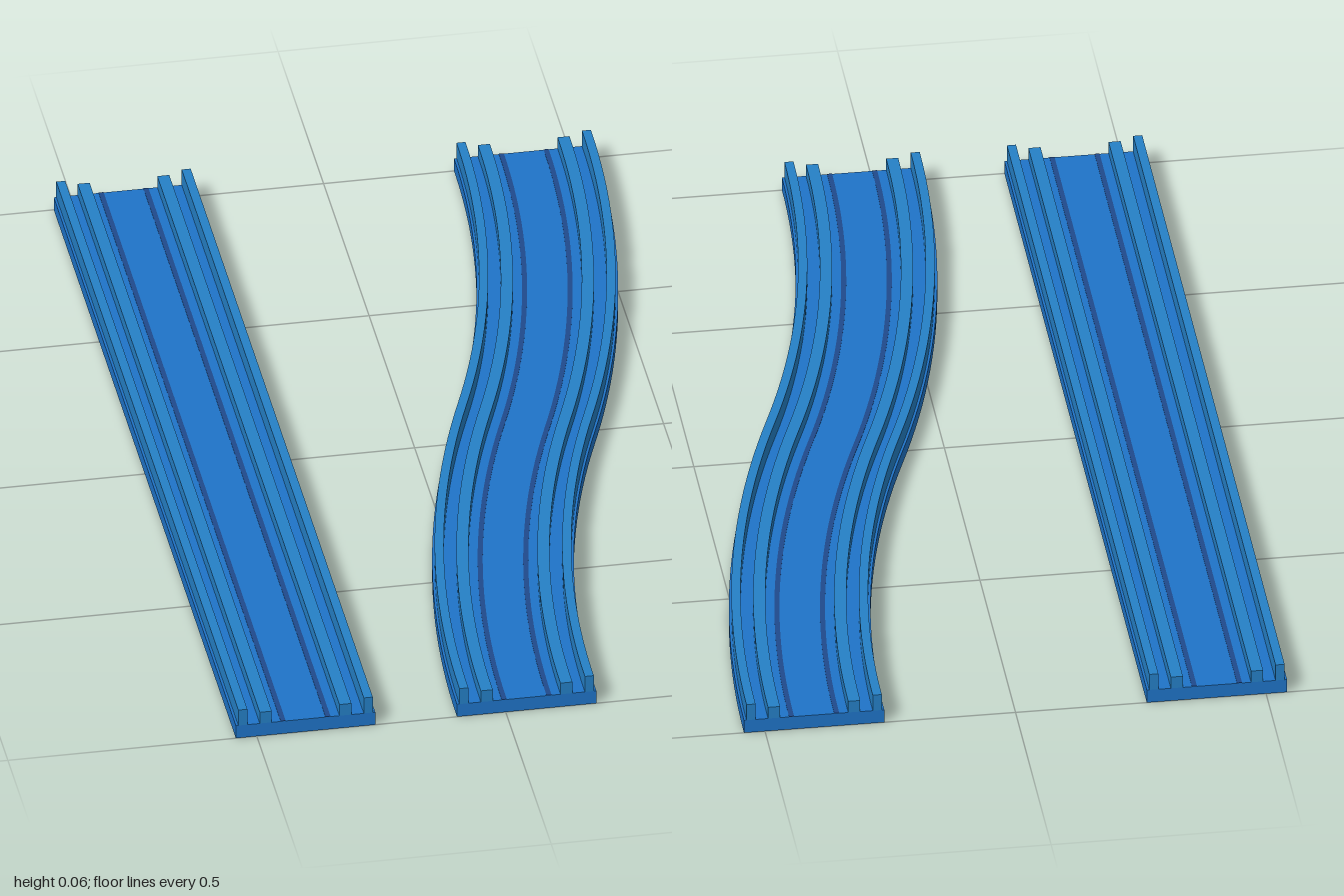
import * as THREE from 'three';

const material = (name, color) => {
  const m = new THREE.MeshStandardMaterial({ color });
  m.name = name;
  return m;
};

// Cross-section pieces: [name, centre offset, width, bottom, top, material key]
const HALF = 0.14, BASE_TOP = 0.029;
const SECTION = [['base', 0, HALF * 2, 0, BASE_TOP, 'base']];
for (const [side, s] of [['left', 1], ['right', -1]]) {
  SECTION.push(
    [side + 'OuterWall', s * 0.126, 0.018, BASE_TOP, 0.065, 'rail'],
    [side + 'InnerRail', s * 0.08, 0.024, BASE_TOP, 0.055, 'rail'],
    [side + 'GuideStripe', s * 0.045, 0.01, BASE_TOP, BASE_TOP + 0.001, 'stripe'],
  );
}

// Straight piece: shift only
const straight = (u, t) => [-0.402 + u, t];

// S-bend: two equal arcs meeting at the middle
const NEAR_X = 0.042, FAR_X = 0.402;
const SHIFT = (FAR_X - NEAR_X) / 2;
const RADIUS = (1 + SHIFT * SHIFT) / (2 * SHIFT);
const SWEEP = Math.asin(1 / RADIUS);
const sBend = (u, t) => {
  const a = SWEEP * (1 - Math.abs(t));
  const dx = RADIUS * (1 - Math.cos(a));
  const z = 1 - RADIUS * Math.sin(a);
  const x = t >= 0 ? NEAR_X + dx : FAR_X - dx;
  return [x + u * Math.cos(a), (t >= 0 ? z : -z) + u * Math.sin(a)];
};

// Sweep every section piece along a path
function makeTrack(name, path, segments, materials) {
  const track = new THREE.Group();
  track.name = name;
  for (const [part, offset, width, bottom, top, key] of SECTION) {
    const geo = new THREE.BoxGeometry(width, top - bottom, 2, 1, 1, segments);
    geo.translate(offset, (top + bottom) / 2, 0);
    const p = geo.attributes.position;
    for (let i = 0; i < p.count; i++) {
      const [x, z] = path(p.getX(i), p.getZ(i));
      p.setX(i, x);
      p.setZ(i, z);
    }
    geo.computeVertexNormals();
    const mesh = new THREE.Mesh(geo, materials[key]);
    mesh.name = part;
    track.add(mesh);
  }
  return track;
}

export function createModel() {
  const materials = {
    base: material('track blue', 0x1f74c8),
    rail: material('rail blue', 0x2580c6),
    stripe: material('stripe navy', 0x1f4a8c),
  };
  const model = new THREE.Group();
  model.name = 'trackPieces';
  model.add(makeTrack('straightTrack', straight, 1, materials));
  model.add(makeTrack('curvedTrack', sBend, 48, materials));
  return model;
}
